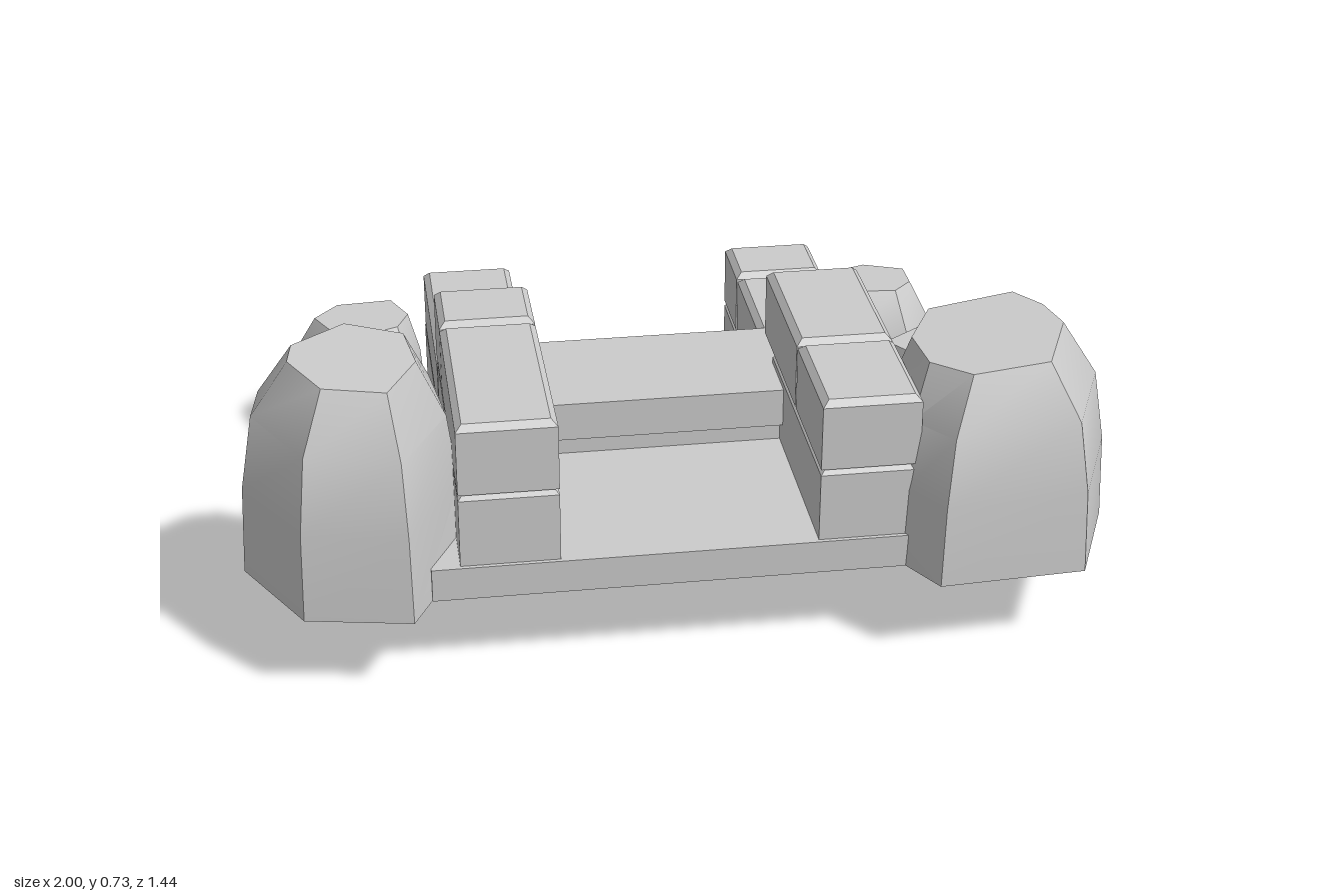
import * as THREE from 'three';
import { toCreasedNormals } from 'three/addons/utils/BufferGeometryUtils.js';

const stone = new THREE.MeshStandardMaterial({ color: 0xcccccc, side: THREE.DoubleSide });

// Shell lofted upward through rings of [x, y, z] points, capped on top and open underneath
function loft(name, rings, crease) {
  const n = rings[0].length;
  const last = rings.length - 1;
  const centre = [0, 1, 2].map((k) => rings[last].reduce((sum, p) => sum + p[k], 0) / n);
  const index = [];
  for (let i = 0; i < n; i++) {
    const j = (i + 1) % n;
    for (let k = 0; k < last; k++) {
      const a = k * n + i, b = k * n + j;
      index.push(a, a + n, b, b, a + n, b + n);
    }
    index.push(n * (last + 1), last * n + j, last * n + i);
  }
  const geo = new THREE.BufferGeometry();
  geo.setAttribute('position', new THREE.Float32BufferAttribute([...rings.flat(2), ...centre], 3));
  geo.setIndex(index);
  const mesh = new THREE.Mesh(toCreasedNormals(geo, crease), stone);
  mesh.name = name;
  return mesh;
}

// Stone slab or block given by its extents, with an optional chamfer round the top
function block(name, [x0, x1], [y0, y1], [z0, z1], bevel = 0) {
  const ring = (y, d) => [
    [x1 - d, y, z0 + d], [x1 - d, y, z1 - d], [x0 + d, y, z1 - d], [x0 + d, y, z0 + d]
  ];
  const rings = bevel ? [ring(y0, 0), ring(y1 - bevel, 0), ring(y1, bevel)] : [ring(y0, 0), ring(y1, 0)];
  return loft(name, rings, 0.3);
}

// Boulder from a base outline through rounded shoulders to a smaller, tilted top ([x, z] points)
function rock(name, y0, y1, base, top, tilt = 0) {
  const cx = top.reduce((sum, p) => sum + p[0], 0) / top.length;
  const levels = [[0, 0], [0.4, 0.08], [0.74, 0.32], [1, 1]]; // height share, blend to top
  const rings = levels.map(([h, t]) => base.map(([x, z], i) => {
    const px = x + (top[i][0] - x) * t;
    const pz = z + (top[i][1] - z) * t;
    return [px, y0 + (y1 - y0 + tilt * (px - cx)) * h, pz];
  }));
  return loft(name, rings, 0.6);
}

export function createModel() {
  const model = new THREE.Group();

  // Two floor levels joined by a raised central step
  model.add(
    block('upperFloor', [-0.585, 0.58], [0.2, 0.28], [-0.09, 0.62]),
    block('lowerFloor', [-0.585, 0.58], [0, 0.08], [-0.68, -0.09]),
    block('stepRiser', [-0.34, 0.335], [0.08, 0.335], [-0.13, 0.13]),
    block('stepTop', [-0.34, 0.335], [0.335, 0.43], [-0.17, 0.165])
  );

  // Walls: each course is a list of z extents
  const rightX = [-0.52, -0.295], leftX = [0.29, 0.515];
  const courses = [
    ['frontRightWallLower', rightX, [0.28, 0.46], [[-0.07, 0.61]]],
    ['frontRightWallUpper', rightX, [0.46, 0.63], [[0.11, 0.61], [-0.09, 0.1]]],
    ['frontLeftWallLower', leftX, [0.28, 0.46], [[0.02, 0.61]]],
    ['frontLeftWallUpper', leftX, [0.46, 0.63], [[0.315, 0.61], [-0.085, 0.305]]],
    ['backRightWallLower', rightX, [0.08, 0.27], [[-0.67, -0.1]]],
    ['backRightWallUpper', rightX, [0.27, 0.43], [[-0.63, -0.1]]],
    ['backLeftWallLower', leftX, [0.08, 0.27], [[-0.67, -0.1]]],
    ['backLeftWallUpper', leftX, [0.27, 0.43], [[-0.67, -0.49], [-0.475, -0.1]]]
  ];
  for (const [name, x, y, spans] of courses) {
    const course = new THREE.Group();
    course.name = name;
    for (const z of spans) course.add(block('stoneBlock', x, y, z, 0.015));
    model.add(course);
  }

  // Large boulders beside the upper floor
  model.add(
    rock('frontRightBoulder', 0.2, 0.72,
      [[-0.5, 0.45], [-0.63, 0.705], [-0.87, 0.66], [-1, 0.43], [-0.98, 0.29], [-0.74, 0.12], [-0.53, 0.22]],
      [[-0.59, 0.44], [-0.66, 0.59], [-0.8, 0.57], [-0.87, 0.44], [-0.86, 0.36], [-0.74, 0.25], [-0.61, 0.3]], -0.07),
    rock('frontLeftBoulder', 0.2, 0.69,
      [[1, 0.45], [0.89, 0.7], [0.55, 0.72], [0.48, 0.6], [0.49, 0.35], [0.62, 0.2], [0.83, 0.11], [0.97, 0.26]],
      [[0.88, 0.43], [0.8, 0.61], [0.62, 0.63], [0.54, 0.55], [0.53, 0.42], [0.6, 0.29], [0.81, 0.25], [0.86, 0.33]], 0.05)
  );

  // Small rocks tucked behind the large boulders
  model.add(
    rock('smallRightRock', 0.2, 0.51,
      [[-0.52, 0.13], [-0.58, 0.25], [-0.74, 0.25], [-0.77, 0.13], [-0.71, -0.04], [-0.57, 0.02]],
      [[-0.56, 0.13], [-0.6, 0.19], [-0.68, 0.19], [-0.71, 0.11], [-0.67, 0.04], [-0.59, 0.06]]),
    rock('smallLeftRock', 0.2, 0.515,
      [[0.81, 0.14], [0.74, 0.25], [0.55, 0.23], [0.51, 0.1], [0.65, -0.03], [0.8, 0.05]],
      [[0.77, 0.12], [0.71, 0.18], [0.59, 0.17], [0.55, 0.11], [0.65, 0.04], [0.76, 0.06]])
  );

  // Medium rocks at the back corners
  model.add(
    rock('backRightRock', 0, 0.36,
      [[-0.53, -0.5], [-0.57, -0.37], [-0.71, -0.33], [-0.86, -0.43], [-0.89, -0.55], [-0.77, -0.68], [-0.57, -0.66]],
      [[-0.57, -0.52], [-0.6, -0.45], [-0.67, -0.42], [-0.77, -0.45], [-0.81, -0.53], [-0.75, -0.6], [-0.61, -0.61]]),
    rock('backLeftRock', 0, 0.37,
      [[0.83, -0.47], [0.74, -0.37], [0.58, -0.38], [0.51, -0.5], [0.52, -0.69], [0.68, -0.72], [0.82, -0.63]],
      [[0.76, -0.51], [0.71, -0.46], [0.61, -0.47], [0.56, -0.53], [0.57, -0.6], [0.66, -0.63], [0.76, -0.59]])
  );
  return model;
}
